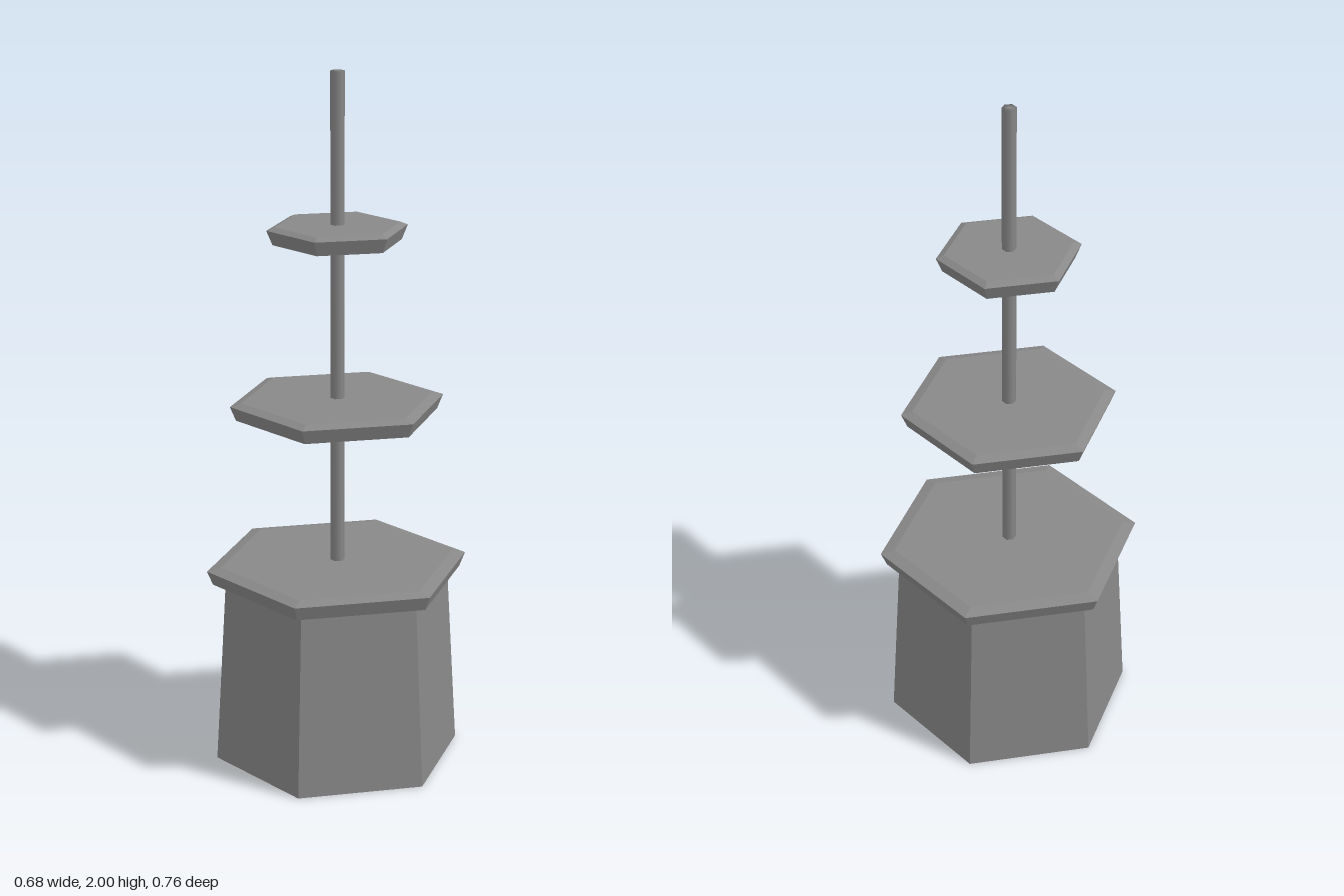
import * as THREE from 'three';

const SIDES = 6;
const TURN = 0.048; // slight twist shared by the base and trays

// Hexagonal form turned from [radius, y] points, bottom to top
function hexForm(name, profile, turn, options) {
  const points = profile.map(([r, y]) => new THREE.Vector2(r, y));
  const mesh = new THREE.Mesh(
    new THREE.LatheGeometry(points, SIDES, turn),
    new THREE.MeshStandardMaterial({ color: 0x888888, ...options }),
  );
  mesh.name = name;
  return mesh;
}

export function createModel() {
  const model = new THREE.Group();
  model.name = 'tieredStand';

  // Hollow tapered base, open underneath
  model.add(hexForm('base', [[0.36, 0], [0.327, 0.55]], TURN, { flatShading: true, side: THREE.DoubleSide }));

  // Trays: flared rim with a shallow bevel on top
  const trays = [
    ['lowerTray', 0.381, 0.542, 0.04],
    ['middleTray', 0.308, 1.028, 0.032],
    ['upperTray', 0.2, 1.526, 0.022],
  ];
  for (const [name, radius, y, bevel] of trays) {
    model.add(hexForm(name, [
      [0, y], [radius - 0.017, y], [radius, y + 0.041], [radius - bevel, y + 0.05], [0, y + 0.05],
    ], TURN, { flatShading: true }));
  }

  // Central pole, softly shaded round its six sides
  model.add(hexForm('pole', [[0, 0.55], [0.02, 0.55], [0.02, 2], [0, 2]], 0, { flatShading: false }));

  return model;
}
